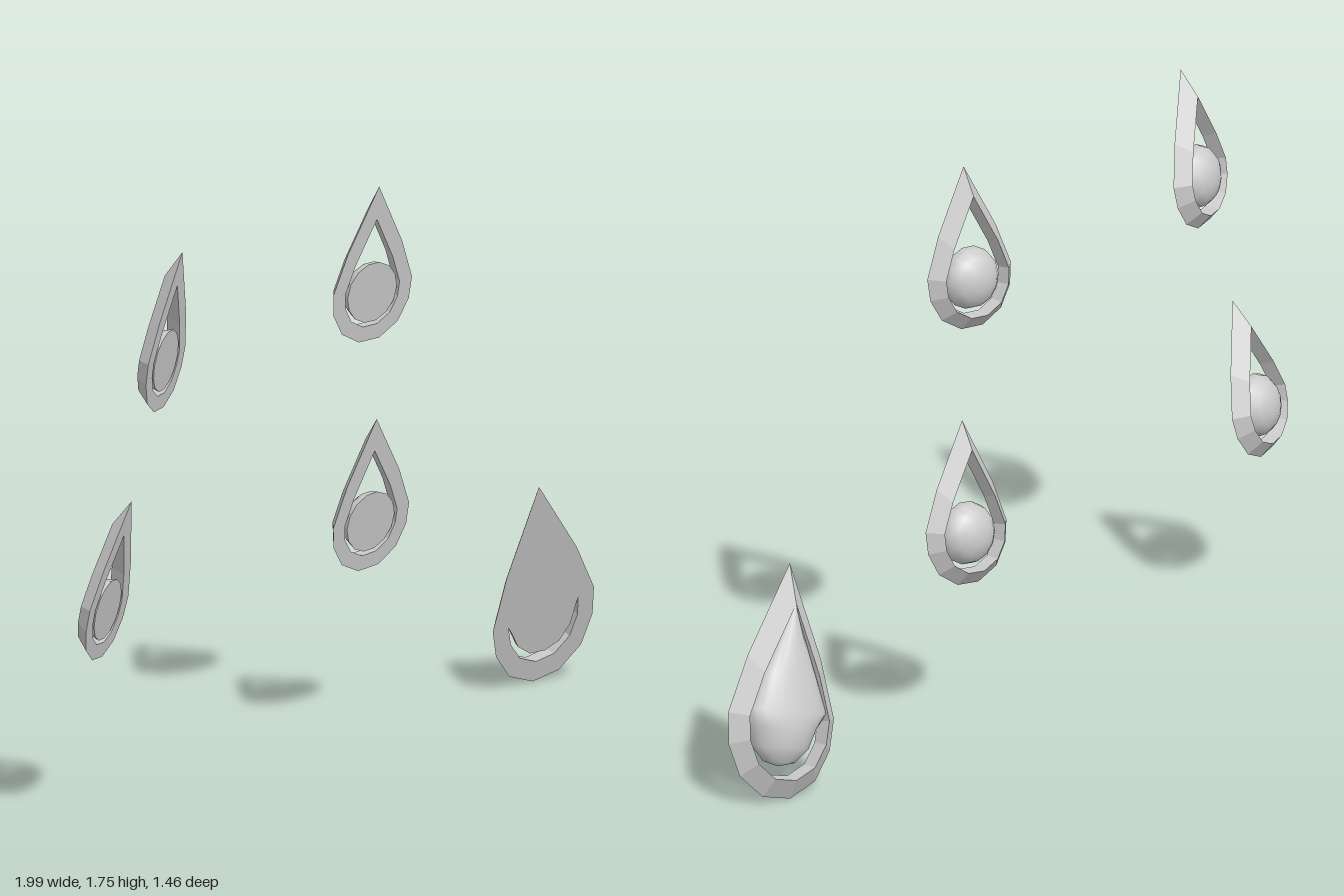
import * as THREE from 'three';

const smooth = new THREE.MeshStandardMaterial({ color: 0xcccccc });
const faceted = new THREE.MeshStandardMaterial({ color: 0xcccccc, flatShading: true });

// Right half of the teardrop outline, bottom to tip; the gem centre is the origin
const half = [[0.04, -0.155], [0.11, -0.115], [0.148, -0.048], [0.155, 0.02], [0.107, 0.145]];
const outline = [...half, [0, 0.345], ...half.map(([x, y]) => [-x, y]).reverse()];

function addMesh(parent, name, geometry, material) {
  const mesh = new THREE.Mesh(geometry, material);
  mesh.name = name;
  parent.add(mesh);
}

// Teardrop ring with a triangular section: flat front, ridge at the back
function frameGeometry() {
  const sections = [[0.69, 0], [1, 0], [0.75, -0.045]];
  const positions = [];
  const point = (s, i) => {
    const [x, y] = outline[i % outline.length];
    return [x * s[0], y * s[0], s[1]];
  };
  sections.forEach((a, k) => {
    const b = sections[(k + 1) % sections.length];
    for (let i = 0; i < outline.length; i++) {
      const p = point(a, i), q = point(b, i), r = point(b, i + 1), t = point(a, i + 1);
      positions.push(...p, ...q, ...r, ...p, ...r, ...t);
    }
  });
  const geometry = new THREE.BufferGeometry();
  geometry.setAttribute('position', new THREE.Float32BufferAttribute(positions, 3));
  geometry.computeVertexNormals();
  return geometry;
}

// Round gem: flat disc in front, shallow dome behind
function addRoundGem(parent) {
  const radius = 0.097;
  const dome = new THREE.SphereGeometry(radius, 14, 4, 0, Math.PI * 2, 0, Math.PI / 2);
  dome.rotateX(-Math.PI / 2);
  dome.scale(1, 1, 0.72);
  addMesh(parent, 'gemDome', dome, smooth);
  addMesh(parent, 'gemFace', new THREE.CircleGeometry(radius, 14), faceted);
}

// Drop gem: dome at the bottom that runs up into the tip of the frame
function addDropGem(parent) {
  const profile = [[0, -0.088], [0.045, -0.079], [0.08, -0.048], [0.098, -0.005],
    [0.116, 0.03], [0.08, 0.109], [0, 0.259]].map(([x, y]) => new THREE.Vector2(x, y));
  const body = new THREE.LatheGeometry(profile, 12, Math.PI / 2, Math.PI);
  const pos = body.attributes.position;
  const n = profile.length;
  for (let i = 0; i < pos.count; i++) {
    const c = Math.sin(Math.PI * Math.floor(i / n) / 12);
    const { x: r, y } = profile[i % n];
    const depth = y < 0 ? 0.07 * Math.min(1, r / 0.098) : 0.07 - 0.025 * y / 0.259;
    pos.setZ(i, -depth * Math.pow(Math.max(c, 0), y < 0.02 ? 1 : 0.5));
  }
  body.computeVertexNormals();
  addMesh(parent, 'dropGemBack', body, smooth);
  const mirrored = profile.slice(1, -1).reverse().map((p) => new THREE.Vector2(-p.x, p.y));
  addMesh(parent, 'dropGemFace', new THREE.ShapeGeometry(new THREE.Shape([...profile, ...mirrored])), faceted);
}

// Places a pendant by its gem centre, its tip and its sideways direction
function addPendant(parent, { name, centre, tip, side, scale = [1, 1, 1], drop = false }) {
  const pendant = new THREE.Group();
  pendant.name = name;
  const c = new THREE.Vector3(...centre);
  const up = new THREE.Vector3(...tip).sub(c).normalize();
  const normal = new THREE.Vector3(...side).cross(up).normalize();
  const across = up.clone().cross(normal);
  pendant.quaternion.setFromRotationMatrix(new THREE.Matrix4().makeBasis(across, up, normal));
  pendant.position.copy(c);
  pendant.scale.set(...scale);
  addMesh(pendant, 'frame', frameGeometry(), faceted);
  if (drop) addDropGem(pendant);
  else addRoundGem(pendant);
  parent.add(pendant);
}

export function createModel() {
  const model = new THREE.Group();
  model.name = 'pendants';
  [
    { name: 'upperMiddlePendant', centre: [0.128, 1.408, -0.077], tip: [0.136, 1.75, -0.026], side: [0.91, 0.045, -0.41] },
    { name: 'lowerMiddlePendant', centre: [0.173, 0.649, -0.255], tip: [0.171, 0.985, -0.181], side: [0.895, 0.1, -0.445] },
    { name: 'upperRightPendant', centre: [-0.704, 1.409, 0.588], tip: [-0.659, 1.75, 0.611], side: [0.6, -0.03, -0.8] },
    { name: 'lowerRightPendant', centre: [-0.888, 0.647, 0.592], tip: [-0.819, 0.984, 0.611], side: [0.61, -0.08, -0.79] },
    { name: 'largeDropPendant', centre: [0.819, 0.22, -0.627], tip: [0.755, 0.672, -0.449], side: [0.92, 0.25, -0.29],
      scale: [1.215, 1.42, 1.15], drop: true },
  ].forEach((p) => addPendant(model, p));
  return model;
}
